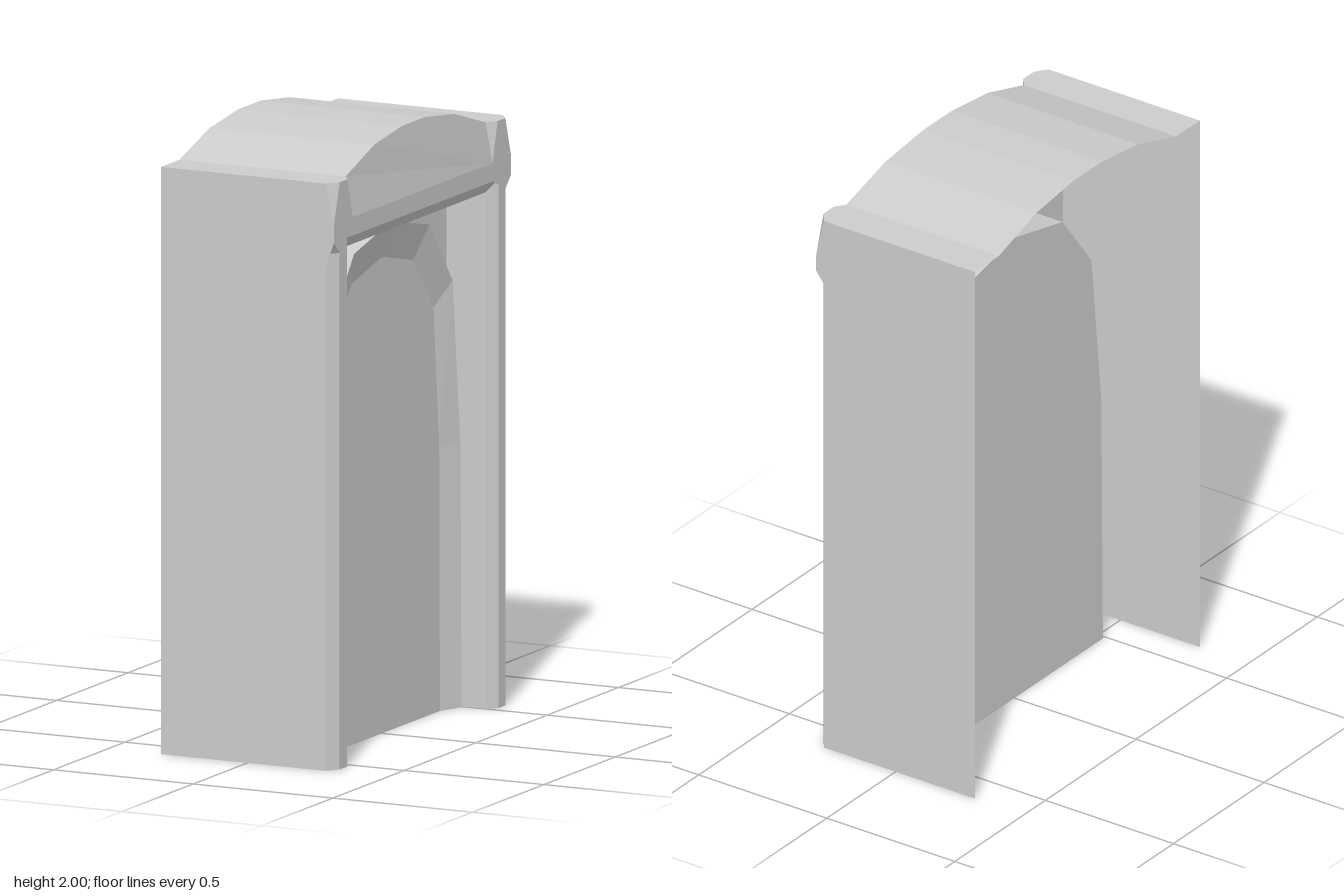
import * as THREE from 'three';

const material = new THREE.MeshStandardMaterial({ color: 0xcccccc, flatShading: true, side: THREE.DoubleSide });

// Flat-shaded mesh from polygons, each fanned from its first corner.
function polyMesh(name, polygons) {
  const pos = [];
  for (const p of polygons)
    for (let i = 1; i < p.length - 1; i++) pos.push(...p[0], ...p[i], ...p[i + 1]);
  const geo = new THREE.BufferGeometry();
  geo.setAttribute('position', new THREE.Float32BufferAttribute(pos, 3));
  geo.computeVertexNormals();
  const mesh = new THREE.Mesh(geo, material);
  mesh.name = name;
  return mesh;
}

// Quads joining two polylines of equal length.
const bridge = (a, b) => a.slice(1).map((_, i) => [a[i], b[i], b[i + 1], a[i + 1]]);

// Mirror polygons across z, keeping the faces outward.
const flip = polys => polys.map(p => p.map(([x, y, z]) => [x, y, -z]).reverse());

// Complete a half profile running from +z to the centre.
const whole = half => [...half, ...half.filter(p => p[2] > 0).reverse().map(([x, y, z]) => [x, y, -z])];

const BACK = -0.31, STEP = 0.28, FRONT = 0.31, PLATE = 0.14;

export function createModel() {
  const group = new THREE.Group();
  group.name = 'archedDoorway';

  // Side walls, with the front edge following the bevels
  const wall = [[BACK, 0], [STEP, 0], [STEP, 1.68], [FRONT, 1.72], [FRONT, 1.78], [STEP, 1.91], [BACK, 1.91]]
    .map(([x, y]) => [x, y, 0.62]);

  // Pillars: bevelled posts that widen into square corner blocks
  const pillar = [
    [[STEP, 0, 0.62], [FRONT, 0, 0.58], [FRONT, 1.68, 0.58], [STEP, 1.68, 0.62]],
    [[STEP, 1.68, 0.62], [FRONT, 1.68, 0.58], [FRONT, 1.72, 0.62]],
    [[FRONT, 0, 0.58], [FRONT, 0, 0.53], [FRONT, 1.72, 0.53], [FRONT, 1.68, 0.58]],
    [[FRONT, 0, 0.53], [STEP, 0, 0.5], [STEP, 1.68, 0.5], [FRONT, 1.72, 0.53]],
    [[STEP, 0, 0.5], [PLATE, 0, 0.5], [PLATE, 1.68, 0.5], [STEP, 1.68, 0.5]],
  ];
  const block = [
    [[FRONT, 1.72, 0.53], [FRONT, 1.72, 0.49], [FRONT, 1.78, 0.49], [FRONT, 1.91, 0.525],
      [FRONT, 1.91, 0.58], [FRONT, 1.78, 0.62], [FRONT, 1.72, 0.62], [FRONT, 1.68, 0.58]],
    [[FRONT, 1.78, 0.62], [FRONT, 1.91, 0.58], [STEP, 1.91, 0.62]],
    [[FRONT, 1.78, 0.49], [0.285, 1.91, 0.49], [FRONT, 1.91, 0.525]],
  ];
  for (const [side, put] of [['left', p => p], ['right', flip]]) {
    group.add(polyMesh(side + 'Wall', put([wall])));
    group.add(polyMesh(side + 'Pillar', put(pillar)));
    group.add(polyMesh(side + 'CornerBlock', put(block)));
  }

  // Curved roof
  const eave = whole([[STEP, 1.91, 0.62], [FRONT, 1.91, 0.58], [FRONT, 1.91, 0.525],
    [0.285, 1.91, 0.49], [0.28, 1.975, 0.28], [0.277, 2, 0.08]]);
  group.add(polyMesh('roof', bridge(eave, eave.map(([, y, z]) => [BACK, y, z])).map(p => p.reverse())));

  // Sloping gable face below the roof curve
  group.add(polyMesh('gable', [[[FRONT, 1.78, -0.49], ...eave.slice(3, -3).reverse(), [FRONT, 1.78, 0.49]]]));

  // Lintel: face, bevel and underside
  const beam = [[FRONT, 1.78, 0.49], [FRONT, 1.72, 0.49]];
  const bevel = [[FRONT, 1.72, 0.53], [STEP, 1.68, 0.5], [PLATE, 1.68, 0.5]];
  const opposite = pts => pts.map(([x, y, z]) => [x, y, -z]);
  group.add(polyMesh('lintel', [...bridge(beam, opposite(beam)), ...bridge(bevel, opposite(bevel))]
    .map(p => p.reverse())));

  // Arch outlines: outer rim and recessed panel
  const outer = whole([[0, 0, 0.488], [0, 0.86, 0.48], [0, 1.4, 0.425], [0, 1.61, 0.265], [0, 1.67, 0]]);
  const inner = whole([[0, 0, 0.405], [0, 0.86, 0.4], [0, 1.32, 0.36], [0, 1.5, 0.215], [0, 1.55, 0]]);
  const at = (pts, x) => pts.map(([, y, z]) => [x, y, z]);

  // Recessed plate around the arch
  const plate = new THREE.Shape([[0.5, 0], [0.5, 1.68], [-0.5, 1.68], [-0.5, 0],
    ...outer.map(([, y, z]) => [z, y]).reverse()].map(([z, y]) => new THREE.Vector2(-z, y)));
  const plateMesh = new THREE.Mesh(new THREE.ShapeGeometry(plate).rotateY(Math.PI / 2).translate(PLATE, 0, 0), material);
  plateMesh.name = 'backPlate';
  group.add(plateMesh);

  // Arched door: deep rim, sloping reveal, front panel and back
  group.add(polyMesh('archRim', bridge(at(outer, -0.025), at(outer, 0.2))));
  group.add(polyMesh('archReveal', bridge(at(outer, 0.2), at(inner, 0.165))));
  group.add(polyMesh('doorPanel', [at(inner, 0.165).reverse()]));
  group.add(polyMesh('doorBack', [at(outer, -0.025)]));

  return group;
}
